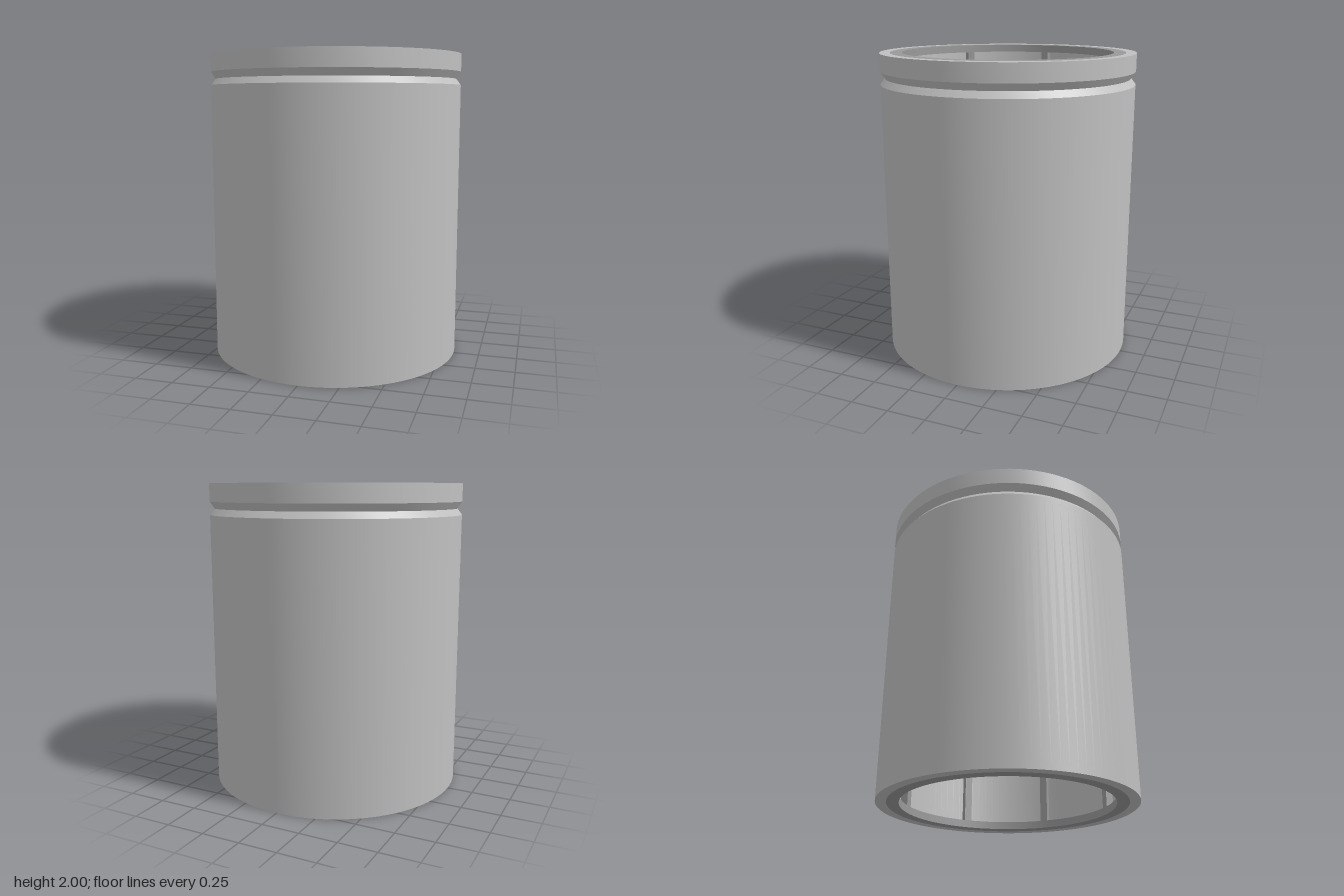
import * as THREE from 'three';
import { toCreasedNormals } from 'three/addons/utils/BufferGeometryUtils.js';

const OUTER = 0.833, BORE = 0.765, RING_INNER = 0.687, HEIGHT = 2, RING_HEIGHT = 0.05;

// Revolves a closed counter-clockwise profile with sharp edges kept
function revolve(profile) {
  const points = [...profile, profile[0]].map(([r, y]) => new THREE.Vector2(r, y));
  return toCreasedNormals(new THREE.LatheGeometry(points, 96), 0.4);
}

export function createModel() {
  const steel = new THREE.MeshStandardMaterial({ color: 0xc0c0c0 });
  steel.name = 'light steel grey';
  const liner = new THREE.MeshStandardMaterial({ color: 0x999999 });
  liner.name = 'dark liner grey';

  const model = new THREE.Group();
  model.name = 'sleeve';
  const add = (name, geometry, material) => {
    const mesh = new THREE.Mesh(geometry, material);
    mesh.name = name;
    model.add(mesh);
    return mesh;
  };

  // Outer sleeve with a V groove near the top
  add('outerSleeve', revolve([
    [BORE, 0], [OUTER, 0], [OUTER, 1.8], [0.803, 1.84],
    [OUTER, 1.885], [OUTER, HEIGHT], [BORE, HEIGHT],
  ]), steel);

  // Flush end rings
  const ring = revolve([
    [RING_INNER, 0], [BORE, 0], [BORE, RING_HEIGHT], [RING_INNER, RING_HEIGHT],
  ]);
  add('bottomRing', ring, liner);
  add('topRing', ring, liner).position.y = HEIGHT - RING_HEIGHT;

  // Eight slim ribs along the bore, between the rings
  const rib = new THREE.BoxGeometry(0.05, HEIGHT - 2 * RING_HEIGHT, 0.055);
  for (let i = 0; i < 8; i++) {
    const angle = (i * Math.PI) / 4;
    const mesh = add('boreRib' + (i + 1), rib, liner);
    mesh.position.set(Math.sin(angle) * 0.741, HEIGHT / 2, Math.cos(angle) * 0.741);
    mesh.rotation.y = angle;
  }

  return model;
}
